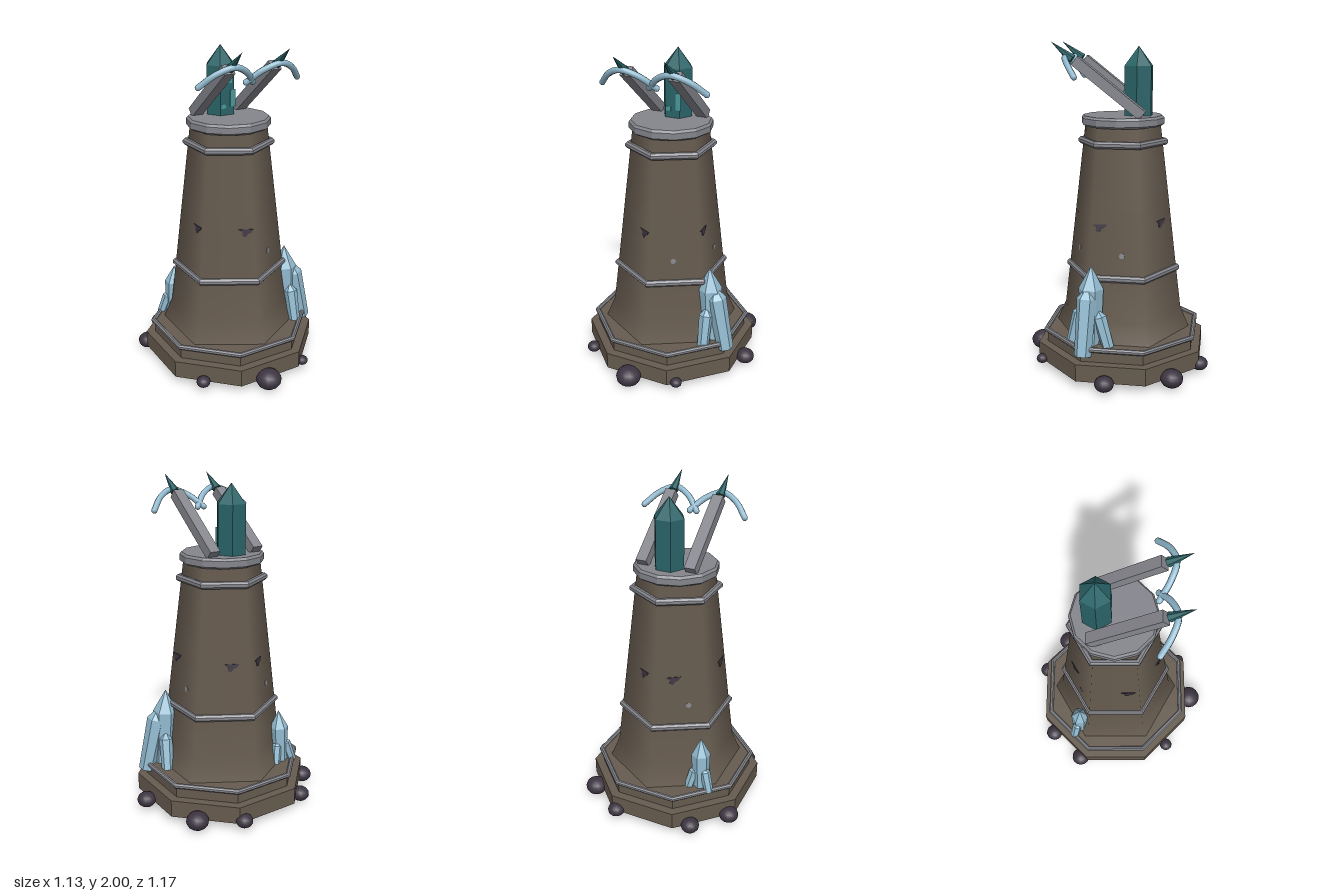
import * as THREE from 'three';

const mat = (name, color) => {
  const m = new THREE.MeshStandardMaterial({ color });
  m.name = name;
  return m;
};

export function createModel() {
  const stone = mat('brownStone', 0x665b4f);
  const metal = mat('greyMetal', 0x85868d);
  const rock = mat('darkRock', 0x3d3542);
  const teal = mat('tealCrystal', 0x2a6468);
  const glint = mat('tealGlint', 0x4a9a9c);
  const ice = mat('paleBlueCrystal', 0x92bbd0);

  const root = new THREE.Group();
  root.name = 'crystalTower';
  const C = -0.03; // tower axis in x and z
  const tower = new THREE.Group();
  tower.name = 'tower';
  tower.position.set(C, 0, C);
  root.add(tower);

  const V = (x, y, z) => new THREE.Vector3(x, y, z);
  const add = (name, geo, material, parent = root) => {
    const m = new THREE.Mesh(geo, material);
    m.name = name;
    parent.add(m);
    return m;
  };
  const flat = (geo) => {
    const g = geo.index ? geo.toNonIndexed() : geo;
    g.computeVertexNormals();
    return g;
  };
  const lathe = (pts, sides, start = 0) =>
    new THREE.LatheGeometry(pts.map(([r, y]) => new THREE.Vector2(r, y)), sides, start);
  const K = 1 / Math.cos(Math.PI / 8); // octagon apothem to corner radius

  // Octagonal base tiers
  const tier = (name, apothem, y0, y1) => {
    const g = new THREE.CylinderGeometry(apothem * K, apothem * K, y1 - y0, 8, 1, false, Math.PI / 8);
    add(name, flat(g), stone, tower).position.y = (y0 + y1) / 2;
  };
  tier('baseSlab', 0.5, 0.047, 0.153);
  tier('baseStep', 0.449, 0.15, 0.232);

  // Hexagonal shaft with a flared foot
  add('shaft', lathe([[0.425, 0.23], [0.37, 0.36], [0.338, 0.62], [0.29, 1.02], [0.23, 1.515]], 6), stone, tower);

  // Metal bands that follow the polygon of each storey
  const band = (name, R, y, r, sides, start = 0) => {
    const pts = [];
    for (let i = 0; i <= 8; i++) {
      const a = (i / 8) * Math.PI * 2 + Math.PI / 8;
      pts.push([R + r * Math.cos(a), y + r * Math.sin(a)]);
    }
    add(name, flat(lathe(pts, sides, start)), metal, tower);
  };
  band('baseBand', 0.455 * K, 0.232, 0.016, 8, Math.PI / 8);
  band('lowerBand', 0.338, 0.62, 0.022, 6);
  band('upperBand', 0.255, 1.41, 0.022, 6);

  // Round top platform
  add('platform', flat(lathe([[0, 1.505], [0.235, 1.505], [0.252, 1.517], [0.252, 1.553], [0.24, 1.567], [0, 1.567]], 12)), metal, tower);

  // Thin chips on the shaft faces
  const chipShape = new THREE.Shape([
    [-0.045, 0.018], [0.045, 0.022], [0.03, 0], [0.012, -0.008], [-0.004, -0.028], [-0.022, -0.02], [-0.02, 0.002],
  ].map(([x, y]) => new THREE.Vector2(x, y)));
  const chipGeo = new THREE.ExtrudeGeometry(chipShape, { depth: 0.004, bevelEnabled: false });
  const studGeo = new THREE.CylinderGeometry(0.017, 0.017, 0.006, 7).rotateX(Math.PI / 2);
  const onFace = (name, geo, material, deg, t, y) => {
    const face = new THREE.Group();
    face.name = name + 'Mount';
    face.rotation.y = THREE.MathUtils.degToRad(deg);
    tower.add(face);
    const m = add(name, geo, material, face);
    const radius = y < 1.02 ? 0.338 - 0.12 * (y - 0.62) : 0.29 - 0.121 * (y - 1.02);
    m.position.set(t, y, radius * Math.cos(Math.PI / 6));
    m.rotation.x = -0.104;
  };
  for (const [deg, t] of [[-30, 0.1], [90, -0.1], [150, 0.04], [-90, 0.08], [-150, -0.04]])
    onFace('chip', chipGeo, rock, deg, t, 0.925);
  for (const [deg, t] of [[30, -0.01], [90, 0.035], [-150, 0.05]])
    onFace('stud', studGeo, metal, deg, t, 0.76);

  // Large teal crystal on the platform
  const big = add('mainCrystal', flat(lathe([[0, 1.56], [0.092, 1.56], [0.092, 1.857], [0, 1.972]], 6, Math.PI / 6)), teal);
  big.position.set(C, 0, -0.125);
  for (const [x, y, w, h] of [[0.008, 1.665, 0.035, 0.1], [-0.01, 1.78, 0.022, 0.05], [-0.055, 1.62, 0.03, 0.025]])
    add('crystalGlint', new THREE.BoxGeometry(w, h, 0.004), glint).position.set(x, y, -0.045);

  // Hexagonal pointed crystal between two points
  const up = V(0, 1, 0);
  const crystal = (name, a, b, r, parent, tip = 0.13) => {
    const L = a.distanceTo(b);
    const g = lathe([[0, 0], [r * 0.85, 0], [r, L - tip], [0, L]], 6);
    const m = add(name, flat(g), ice, parent);
    m.position.copy(a);
    m.quaternion.setFromUnitVectors(up, b.clone().sub(a).normalize());
  };
  const leftCluster = new THREE.Group();
  leftCluster.name = 'leftCrystalCluster';
  root.add(leftCluster);
  crystal('tallCrystal', V(0.315, 0.2, 0.115), V(0.295, 0.71, 0.11), 0.075, leftCluster, 0.14);
  crystal('leaningCrystal', V(0.425, 0.19, 0.142), V(0.335, 0.6, 0.125), 0.06, leftCluster, 0.08);
  crystal('frontCrystal', V(0.31, 0.22, 0.23), V(0.305, 0.465, 0.17), 0.042, leftCluster, 0.05);
  crystal('rearCrystal', V(0.355, 0.22, 0), V(0.325, 0.45, 0.07), 0.042, leftCluster, 0.05);
  const backCluster = new THREE.Group();
  backCluster.name = 'backCrystalCluster';
  root.add(backCluster);
  crystal('tallCrystal', V(-0.315, 0.21, -0.28), V(-0.305, 0.56, -0.265), 0.058, backCluster, 0.11);
  crystal('outerCrystal', V(-0.385, 0.22, -0.315), V(-0.335, 0.38, -0.285), 0.032, backCluster, 0.04);
  crystal('innerCrystal', V(-0.25, 0.22, -0.32), V(-0.285, 0.37, -0.285), 0.032, backCluster, 0.04);

  // Two slanted launcher beams with spike and bow
  for (const x of [-0.18, 0.12]) {
    const arm = new THREE.Group();
    arm.name = 'launcher';
    arm.position.x = x;
    root.add(arm);
    const a = V(0, 1.578, -0.168), b = V(0, 1.89, 0.228);
    const beam = add('beam', new THREE.BoxGeometry(0.066, 0.06, a.distanceTo(b)), metal, arm);
    beam.position.copy(a).lerp(b, 0.5);
    beam.rotation.x = -Math.atan2(b.y - a.y, b.z - a.z);

    const s = V(0, 1.897, 0.245), tip = V(0, 1.997, 0.37);
    const spike = add('spike', flat(new THREE.ConeGeometry(0.028, s.distanceTo(tip), 6)), teal, arm);
    spike.position.copy(s).lerp(tip, 0.5);
    spike.quaternion.setFromUnitVectors(up, tip.clone().sub(s).normalize());

    const curve = new THREE.CatmullRomCurve3([
      V(-0.172, 1.803, 0.2), V(-0.095, 1.873, 0.256), V(0, 1.908, 0.288), V(0.095, 1.873, 0.256), V(0.172, 1.803, 0.2),
    ]);
    add('bow', new THREE.TubeGeometry(curve, 16, 0.018, 8), ice, arm);
    for (const t of [0, 1]) add('bowEnd', new THREE.SphereGeometry(0.018, 8, 6), ice, arm).position.copy(curve.getPoint(t));
  }

  // Boulders around the foot
  const boulders = [
    [-0.33, -0.473, 0.056], [0.147, -0.535, 0.052], [0.378, -0.383, 0.068], [-0.507, -0.28, 0.06],
    [0.508, 0, 0.058], [-0.42, 0.33, 0.042], [-0.067, 0.505, 0.077], [0.225, 0.44, 0.036],
  ];
  for (const [x, z, r] of boulders) {
    const m = add('boulder', new THREE.SphereGeometry(r, 14, 10), rock);
    m.position.set(x, 0.063, z);
    m.scale.y = 0.8;
  }
  return root;
}
